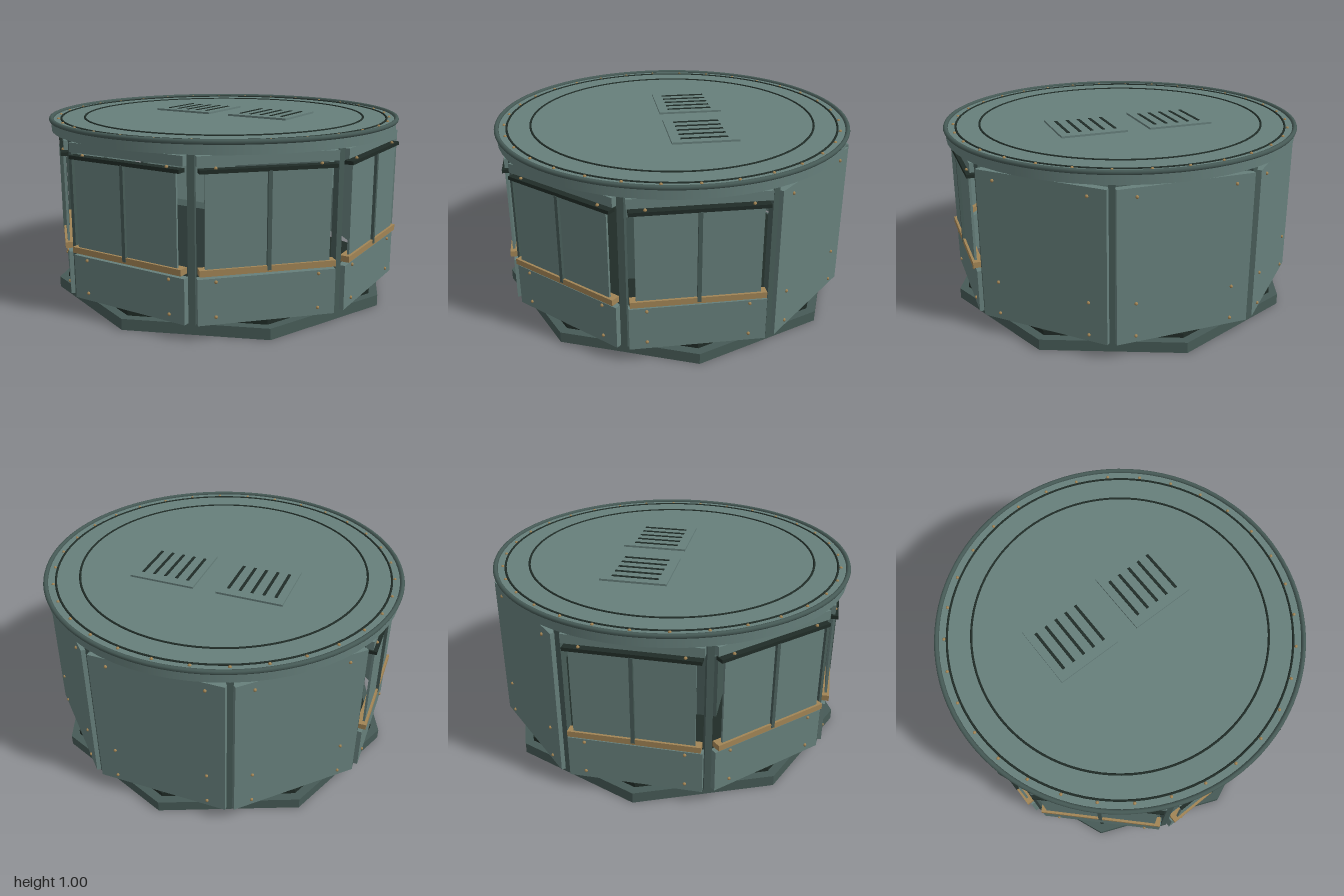
import * as THREE from 'three';

export function createModel() {
  const model = new THREE.Group();
  const mat = (name, color) => {
    const m = new THREE.MeshStandardMaterial({ color });
    m.name = name;
    return m;
  };
  const panel = mat('grey green panel', 0x667f7b);
  const frame = mat('dark green frame', 0x465a56);
  const dark = mat('blackish green', 0x202c27);
  const brass = mat('brass', 0xa18455);

  const add = (parent, name, geometry, material, x = 0, y = 0, z = 0) => {
    const mesh = new THREE.Mesh(geometry, material);
    mesh.name = name;
    mesh.position.set(x, y, z);
    parent.add(mesh);
    return mesh;
  };
  // Box given by its limits in x (half width), y and z
  const slab = (parent, name, material, halfX, y0, y1, z0, z1, x = 0) =>
    add(parent, name, new THREE.BoxGeometry(halfX * 2, y1 - y0, z1 - z0),
      material, x, (y0 + y1) / 2, (z0 + z1) / 2);

  // Octagonal base with corners on the axes, and the floor plate above it
  const flat = (r, h) => new THREE.CylinderGeometry(r, r, h, 8).toNonIndexed();
  const baseGeo = flat(0.985, 0.06);
  const floorGeo = flat(0.935, 0.025);
  baseGeo.computeVertexNormals();
  floorGeo.computeVertexNormals();
  add(model, 'base', baseGeo, frame, 0, 0.03, 0);
  add(model, 'floor', floorGeo, dark, 0, 0.0725, 0);

  // Eight walls: five with windows, three solid at the back
  const rivetGeo = new THREE.SphereGeometry(0.009, 8, 6);
  for (let i = 0; i < 8; i++) {
    const solid = i >= 3 && i <= 5;
    const wall = new THREE.Group();
    wall.name = solid ? 'solidWall' : 'windowWall';
    wall.rotation.y = i * Math.PI / 4;
    model.add(wall);

    if (solid) {
      slab(wall, 'wallPanel', panel, 0.36, 0.09, 0.905, 0.89, 0.93);
    } else {
      slab(wall, 'lowerPanel', panel, 0.35, 0.085, 0.322, 0.89, 0.93);
      slab(wall, 'headerPanel', panel, 0.35, 0.87, 0.92, 0.89, 0.93);
      slab(wall, 'windowSill', brass, 0.343, 0.34, 0.372, 0.895, 0.947);
      slab(wall, 'windowPane', panel, 0.313, 0.372, 0.84, 0.922, 0.934);
      slab(wall, 'windowTopRail', dark, 0.34, 0.838, 0.857, 0.90, 0.947);
      slab(wall, 'mullion', frame, 0.01, 0.35, 0.84, 0.915, 0.95);
    }
    for (const x of [-0.26, 0.26]) {
      for (const y of [0.125, 0.305, 0.86]) add(wall, 'wallRivet', rivetGeo, brass, x, y, 0.932);
    }

    // Corner post
    const corner = new THREE.Group();
    corner.name = 'cornerPost';
    corner.rotation.y = (i + 0.5) * Math.PI / 4;
    model.add(corner);
    slab(corner, 'post', frame, 0.0175, 0.08, 0.927, 0.94, 0.976);
  }

  // Round roof with rim, inlaid rings and rivets
  add(model, 'roof', new THREE.CylinderGeometry(0.985, 0.985, 0.06, 64), panel, 0, 0.955, 0);
  const ring = (name, r, tube, material, y) => {
    const mesh = add(model, name, new THREE.TorusGeometry(r, tube, 8, 96), material, 0, y, 0);
    mesh.rotation.x = Math.PI / 2;
    return mesh;
  };
  ring('roofRim', 0.985, 0.013, frame, 0.986);
  ring('outerRoofRing', 0.93, 0.006, dark, 0.985);
  ring('innerRoofRing', 0.8, 0.006, dark, 0.985);
  for (let i = 0; i < 32; i++) {
    const a = i * Math.PI / 16;
    add(model, 'roofRivet', rivetGeo, brass, Math.sin(a) * 0.945, 0.985, Math.cos(a) * 0.945);
  }

  // Two roof vents with five slots each
  for (const side of [-1, 1]) {
    const vent = new THREE.Group();
    vent.name = 'roofVent';
    vent.position.x = side * 0.25;
    model.add(vent);
    slab(vent, 'ventPlate', panel, 0.185, 0.98, 0.996, -0.3, 0.063);
    for (let k = -2; k <= 2; k++) {
      slab(vent, 'ventSlot', dark, 0.008, 0.992, 0.999, -0.245, 0.01, k * 0.066);
    }
  }

  // Interior: rear console, front desk and central pedestal
  slab(model, 'rearConsole', panel, 0.36, 0.42, 0.62, -0.86, -0.74);
  slab(model, 'rearConsoleFoot', frame, 0.3, 0.085, 0.42, -0.86, -0.78);
  slab(model, 'deskBack', frame, 0.25, 0.085, 0.49, 0.2, 0.32);
  add(model, 'pedestal', new THREE.CylinderGeometry(0.1, 0.1, 0.25, 24), dark, 0, 0.21, -0.1);
  return model;
}
